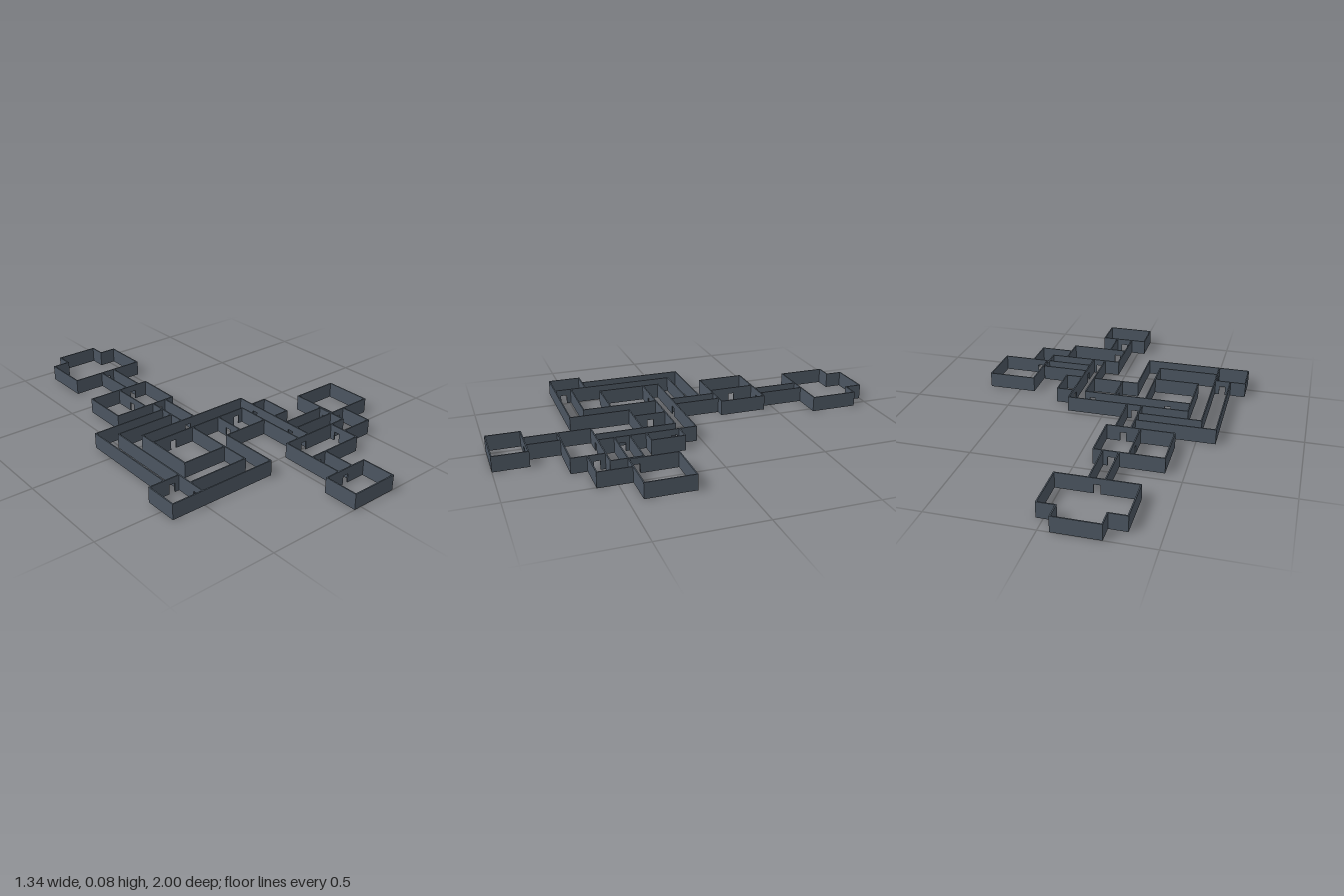
import * as THREE from 'three';

const H = 0.077, T = 0.006;          // wall height and thickness
const DOOR_W = 0.03, DOOR_H = 0.045; // doorway opening

export function createModel() {
  const model = new THREE.Group();
  const slate = new THREE.MeshStandardMaterial({ color: 0x4b5560 });
  slate.name = 'slate wall';

  // Upright wall panel of a given length, notched at the foot for each doorway
  function panel(length, doors) {
    const s = new THREE.Shape();
    s.moveTo(-T / 2, 0);
    for (const d of [...doors].sort((a, b) => a - b)) {
      s.lineTo(d - DOOR_W / 2, 0);
      s.lineTo(d - DOOR_W / 2, DOOR_H);
      s.lineTo(d + DOOR_W / 2, DOOR_H);
      s.lineTo(d + DOOR_W / 2, 0);
    }
    s.lineTo(length + T / 2, 0);
    s.lineTo(length + T / 2, H);
    s.lineTo(-T / 2, H);
    const g = new THREE.ExtrudeGeometry(s, { depth: T, bevelEnabled: false });
    return g.translate(0, 0, -T / 2);
  }

  // Wall along x at depth z; door positions are x values
  function wallX(group, z, x0, x1, ...doors) {
    const m = new THREE.Mesh(panel(x1 - x0, doors.map(d => d - x0)), slate);
    m.position.set(x0, 0, z);
    m.name = 'crossWall';
    group.add(m);
  }

  // Wall along z at x; door positions are z values
  function wallZ(group, x, z0, z1, ...doors) {
    const m = new THREE.Mesh(panel(z1 - z0, doors.map(d => d - z0)), slate);
    m.rotation.y = -Math.PI / 2;
    m.position.set(x, 0, z0);
    m.name = 'lengthWall';
    group.add(m);
  }

  // A named room or corridor: xs = [z, x0, x1, doors...], zs = [x, z0, z1, doors...]
  function area(name, xs, zs) {
    const g = new THREE.Group();
    g.name = name;
    xs.forEach(w => wallX(g, ...w));
    zs.forEach(w => wallZ(g, ...w));
    model.add(g);
  }

  // Rear wing
  area('rearChamber',
    [[-0.997, -0.27, -0.055], [-0.915, -0.355, -0.27], [-0.915, -0.055, 0.03], [-0.68, -0.355, 0.03, -0.163]],
    [[-0.27, -0.997, -0.915], [-0.055, -0.997, -0.915], [-0.355, -0.915, -0.68], [0.03, -0.915, -0.68]]);
  area('rearCorridor', [], [[-0.2, -0.68, -0.443], [-0.125, -0.68, -0.443]]);
  area('dividedRoom',
    [[-0.443, -0.41, -0.08, -0.163], [-0.207, -0.41, -0.08, -0.163]],
    [[-0.41, -0.443, -0.207], [-0.08, -0.443, -0.207], [-0.245, -0.443, -0.207, -0.325]]);
  area('middleCorridor', [], [[-0.2, -0.207, 0.028, -0.09], [-0.125, -0.207, 0.028]]);

  // Right wing: bent corridors wrapped around the hall
  area('outerCorridor',
    [[-0.125, -0.59, -0.2], [-0.053, -0.51, -0.2]],
    [[-0.59, -0.125, 0.412], [-0.51, -0.053, 0.412]]);
  area('cornerRoom',
    [[0.412, -0.667, -0.51, -0.55], [0.575, -0.667, -0.51]],
    [[-0.667, 0.412, 0.575], [-0.51, 0.412, 0.575, 0.53]]);
  area('frontCorridor',
    [[0.49, -0.51, -0.2], [0.575, -0.51, -0.123], [0.275, -0.123, -0.04]],
    [[-0.123, 0.275, 0.575]]);
  area('innerRoom', [[0.35, -0.43, -0.2]],
    [[-0.43, 0.112, 0.35], [-0.2, 0.112, 0.49]]);

  // Central hall
  area('hall',
    [[0.028, -0.43, 0.18, -0.163], [0.112, -0.43, 0.115, -0.315, 0.075]],
    [[-0.43, 0.028, 0.112]]);
  area('smallRoom', [[0.275, -0.04, 0.115]], [[-0.04, 0.112, 0.275, 0.19]]);
  area('closet', [[0.112, 0.18, 0.265], [0.275, 0.18, 0.265]], [[0.265, 0.112, 0.275]]);
  area('longCorridor', [], [[0.115, 0.112, 0.51], [0.18, 0.028, 0.51, 0.138, 0.393]]);

  // Left wing
  area('sideCorridor', [[0.357, 0.18, 0.415], [0.43, 0.18, 0.415]],
    [[0.415, 0.357, 0.51, 0.393]]);
  area('sideRoom', [[0.195, 0.425, 0.663], [0.43, 0.425, 0.663, 0.462]],
    [[0.425, 0.195, 0.43, 0.393], [0.663, 0.195, 0.43]]);
  area('elbowCorridor', [[0.51, 0.333, 0.415], [0.593, 0.333, 0.503]],
    [[0.503, 0.43, 0.593]]);

  // Front wing
  area('frontRoom',
    [[0.51, 0.04, 0.333, 0.148], [0.67, 0.04, 0.333, 0.083]],
    [[0.04, 0.51, 0.67], [0.333, 0.51, 0.67, 0.552]]);
  area('entryCorridor', [], [[0.04, 0.67, 0.832], [0.125, 0.67, 0.832]]);
  area('entryRoom', [[0.832, -0.035, 0.2, 0.083], [0.997, -0.035, 0.2]],
    [[-0.035, 0.832, 0.997], [0.2, 0.832, 0.997]]);

  return model;
}
